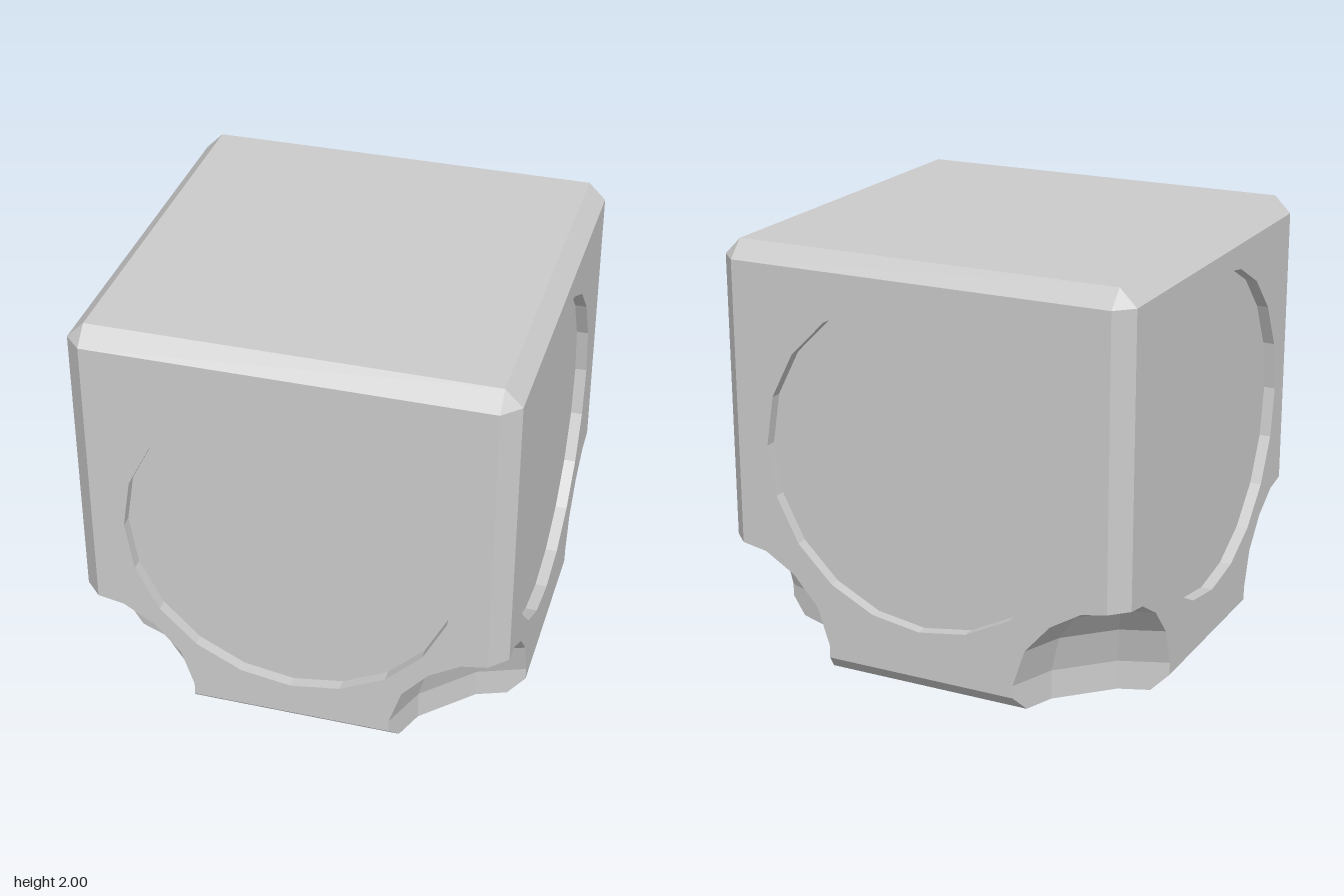
import * as THREE from 'three';

const BEVEL = 0.08, IN = 1 - BEVEL, RADIUS = 0.767, DEPTH = 0.055, SIDES = 20;
// recess centre on each wall: front, +x side, back, -x side (seen face-on)
const RECESSES = [[0, 1.01], [-0.035, 1.07], [0, 1.07], [0.035, 1.07]];

// plan of the corner scoop, as offsets from the corner
const PLAN = [[-0.53, 0], [-0.445, -0.22], [-0.22, -0.445], [0, -0.53]];
// height and plan scale of each scoop row
const ROWS = [[BEVEL, 1], [0.14, 1], [0.32, 0.89], [0.46, 0.66], [0.55, 0.38]];
const SCOOP_TOP = 0.572;

const material = new THREE.MeshStandardMaterial({ color: 0xcccccc, flatShading: true });
const doubleSided = new THREE.MeshStandardMaterial({ color: 0xcccccc, flatShading: true, side: THREE.DoubleSide });

function addMesh(parent, name, geometry, mat = material) {
  const mesh = new THREE.Mesh(geometry, mat);
  mesh.name = name;
  parent.add(mesh);
  return mesh;
}

// flat polygons, each a list of corners in counter-clockwise order
function polygons(list) {
  const pos = [];
  for (const p of list) {
    for (let i = 1; i < p.length - 1; i++) pos.push(...p[0], ...p[i], ...p[i + 1]);
  }
  const g = new THREE.BufferGeometry();
  g.setAttribute('position', new THREE.Float32BufferAttribute(pos, 3));
  g.computeVertexNormals();
  return g;
}

// scoop cross-sections from the underside up to the bevelled upright edge
function scoopRings() {
  const rings = ROWS.map(([y, s]) => PLAN.map(([x, z]) => [1 + x * s, y, 1 + z * s]));
  const base = rings[0].map(([x, , z]) => [x, 0, z]);
  const t = BEVEL / -PLAN[1][1];
  const end = 1 + THREE.MathUtils.lerp(PLAN[0][0], PLAN[1][0], t);
  base[0] = [end, 0, IN];
  base[3] = [IN, 0, end];
  const top = [0, 1 / 3, 2 / 3, 1].map((k) => [IN + BEVEL * k, SCOOP_TOP, 1 - BEVEL * k]);
  return [base, ...rings, top];
}

function ringQuads(rings) {
  const quads = [];
  for (let i = 0; i < rings.length - 1; i++) {
    for (let j = 0; j < rings[i].length - 1; j++) {
      quads.push([rings[i][j], rings[i][j + 1], rings[i + 1][j + 1], rings[i + 1][j]]);
    }
  }
  return quads;
}

// wall outline with both lower corners scooped away and a round hole
function wallGeometry(rings, cx, cy) {
  const right = rings.slice(1).map((r) => new THREE.Vector2(r[0][0], r[0][1]));
  right.push(new THREE.Vector2(IN, 2 - BEVEL));
  const left = right.map((p) => new THREE.Vector2(-p.x, p.y)).reverse();
  const shape = new THREE.Shape([...right, ...left]);
  const hole = [];
  for (let i = 0; i < SIDES; i++) {
    const a = (-i / SIDES) * Math.PI * 2;
    hole.push(new THREE.Vector2(cx + RADIUS * Math.cos(a), cy + RADIUS * Math.sin(a)));
  }
  shape.holes.push(new THREE.Path(hole));
  return new THREE.ShapeGeometry(shape);
}

export function createModel() {
  const model = new THREE.Group();
  model.name = 'block';
  const rings = scoopRings();
  const [e0, e1] = [rings[0][0][0], rings[1][0][0]];
  const T = 2 - BEVEL;

  RECESSES.forEach(([cx, cy], k) => {
    const side = new THREE.Group();
    side.name = 'side';
    side.rotation.y = (k * Math.PI) / 2;
    model.add(side);

    addMesh(side, 'wall', wallGeometry(rings, cx, cy)).position.z = 1;

    // round recess: floor and rim
    addMesh(side, 'recessFloor', new THREE.CircleGeometry(RADIUS, SIDES)).position.set(cx, cy, 1 - DEPTH);
    const rim = new THREE.CylinderGeometry(RADIUS, RADIUS, DEPTH, SIDES, 1, true).rotateX(Math.PI / 2);
    addMesh(side, 'recessRim', rim, doubleSided).position.set(cx, cy, 1 - DEPTH / 2);

    // bevels along the top, bottom and upright edges, plus the top corner
    addMesh(side, 'bevels', polygons([
      [[-IN, T, 1], [IN, T, 1], [IN, 2, IN], [-IN, 2, IN]],
      [[-e0, 0, IN], [e0, 0, IN], [e1, BEVEL, 1], [-e1, BEVEL, 1]],
      [[IN, SCOOP_TOP, 1], [1, SCOOP_TOP, IN], [1, T, IN], [IN, T, 1]],
      [[IN, T, 1], [1, T, IN], [IN, 2, IN]],
    ]));

    // faceted hollow cut from the lower corner
    addMesh(side, 'cornerScoop', polygons(ringQuads(rings)), doubleSided);
  });

  // top
  const top = new THREE.PlaneGeometry(IN * 2, IN * 2).rotateX(-Math.PI / 2);
  addMesh(model, 'top', top).position.y = 2;

  // underside, following the four scoops
  const outline = [];
  for (let k = 0; k < 4; k++) {
    for (const [x, , z] of rings[0]) {
      outline.push(new THREE.Vector2(x, z).rotateAround(new THREE.Vector2(), (-k * Math.PI) / 2));
    }
  }
  addMesh(model, 'underside', new THREE.ShapeGeometry(new THREE.Shape(outline)).rotateX(Math.PI / 2));

  return model;
}
